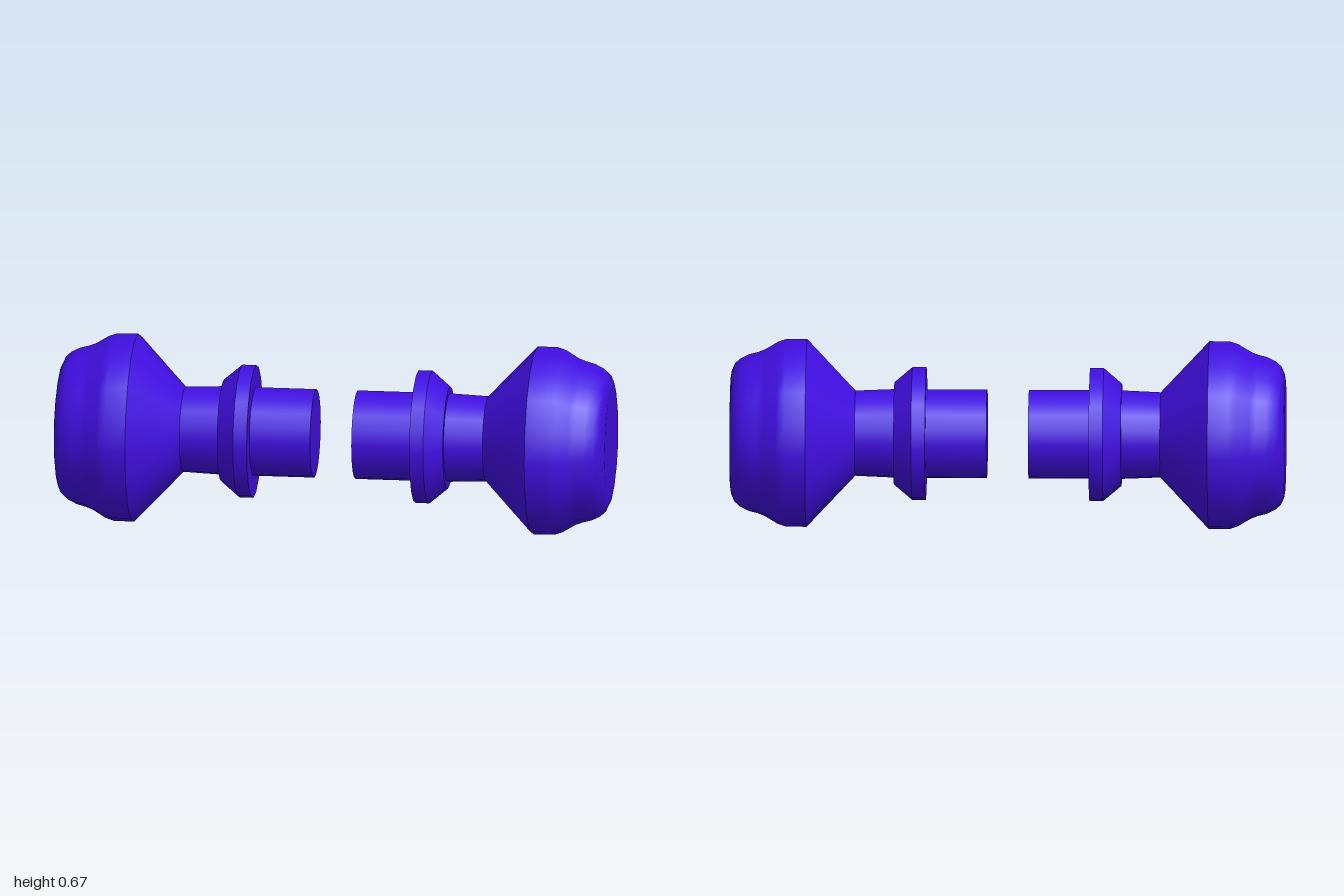
import * as THREE from 'three';

const SIDES = 18;
const AXIS_Y = 0.336;

// Each part is a list of smooth bands [distance from centre, radius]; edges between bands stay sharp.
const PARTS = {
  shaft: [
    [[0.075, 0], [0.075, 0.16]],
    [[0.075, 0.16], [0.295, 0.16]],
  ],
  collar: [
    [[0.295, 0.16], [0.295, 0.24]],
    [[0.295, 0.24], [0.345, 0.24]],
    [[0.345, 0.24], [0.41, 0.185]],
    [[0.41, 0.185], [0.41, 0.16]],
  ],
  neck: [
    [[0.41, 0.16], [0.55, 0.154]],
  ],
  knob: [
    [[0.55, 0.154], [0.725, 0.34]],
    [[0.725, 0.34], [0.8, 0.339], [0.83, 0.329], [0.875, 0.302], [0.9, 0.292],
      [0.935, 0.283], [0.965, 0.268], [0.985, 0.25], [0.996, 0.225], [1, 0.2], [1, 0]],
  ],
};

export function createModel() {
  const model = new THREE.Group();
  model.name = 'knobPair';
  const material = new THREE.MeshStandardMaterial({ color: 0x400ee0 });

  // Turned band around the long axis, pointing towards +x or -x
  const band = (profile, side) => {
    const points = profile.map(([d, r]) => new THREE.Vector2(r, d));
    return new THREE.LatheGeometry(points, SIDES).rotateZ(-side * Math.PI / 2);
  };

  for (const side of [1, -1]) {
    const half = new THREE.Group();
    half.name = side > 0 ? 'leftKnob' : 'rightKnob';
    half.position.y = AXIS_Y;
    for (const [name, bands] of Object.entries(PARTS)) {
      const part = new THREE.Group();
      part.name = name;
      bands.forEach((profile, i) => {
        const mesh = new THREE.Mesh(band(profile, side), material);
        mesh.name = `${name}Band${i + 1}`;
        part.add(mesh);
      });
      half.add(part);
    }
    model.add(half);
  }
  return model;
}
